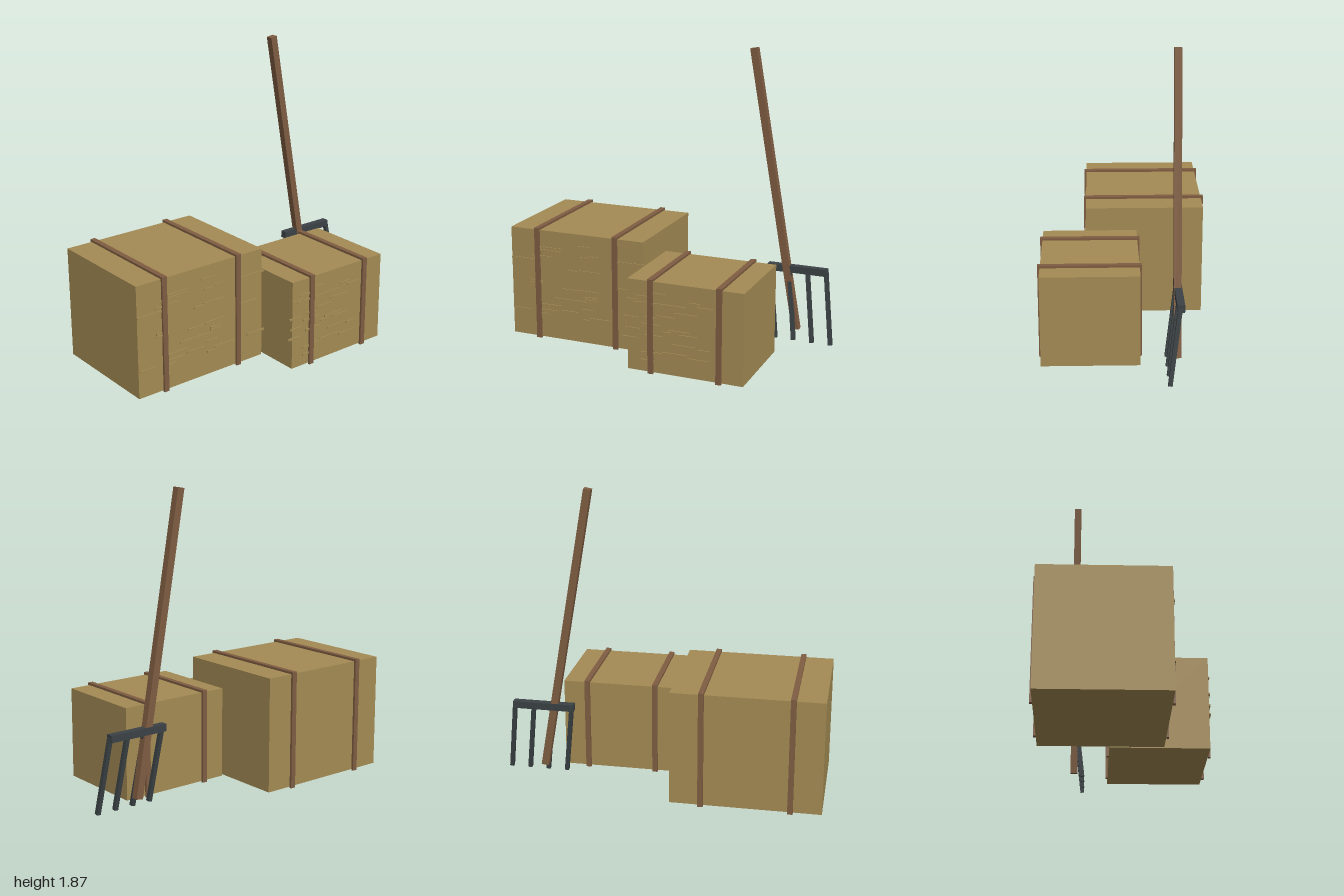
import * as THREE from 'three';

const mat = (name, color) => {
  const m = new THREE.MeshStandardMaterial({ color });
  m.name = name;
  return m;
};

export function createModel() {
  const straw = mat('straw', 0xa48b54);
  const brown = mat('brown wood', 0x7f5d42);
  const iron = mat('dark iron', 0x3b4245);
  const model = new THREE.Group();

  // Box given by its minimum and maximum corners
  function box(parent, name, material, [x0, y0, z0], [x1, y1, z1]) {
    const mesh = new THREE.Mesh(new THREE.BoxGeometry(x1 - x0, y1 - y0, z1 - z0), material);
    mesh.position.set((x0 + x1) / 2, (y0 + y1) / 2, (z0 + z1) / 2);
    mesh.name = name;
    parent.add(mesh);
  }

  // Square rod between two points
  function rod(parent, name, material, from, to, width) {
    const a = new THREE.Vector3(...from), b = new THREE.Vector3(...to);
    const dir = b.clone().sub(a);
    const mesh = new THREE.Mesh(new THREE.BoxGeometry(width, dir.length(), width), material);
    mesh.position.copy(a).add(b).multiplyScalar(0.5);
    mesh.quaternion.setFromUnitVectors(new THREE.Vector3(0, 1, 0), dir.normalize());
    mesh.name = name;
    parent.add(mesh);
  }

  // Bale with two straps and loose stalks [left, right, height] on its front
  function bale(name, min, max, strapXs, stalks) {
    const group = new THREE.Group();
    group.name = name;
    box(group, 'baleBody', straw, min, max);
    const t = 0.014, w = 0.0165;
    const [, y0, z0] = min, [, y1, z1] = max;
    for (const x of strapXs) {
      box(group, 'strapTop', brown, [x - w, y1, z0 - t], [x + w, y1 + t, z1 + t]);
      box(group, 'strapFront', brown, [x - w, 0, z1], [x + w, y1, z1 + t]);
      box(group, 'strapBack', brown, [x - w, 0, z0 - t], [x + w, y1, z0]);
    }
    for (const [a, b, y] of stalks)
      box(group, 'stalk', straw, [a, y - 0.006, z1 - 0.002], [b, y + 0.006, z1 + 0.006]);
    model.add(group);
  }

  bale('largeBale', [-1, 0.008, -0.507], [-0.083, 0.72, 0.233], [-0.812, -0.272], [
    [-0.54, -0.44, 0.64], [-0.8, -0.63, 0.607], [-0.83, -0.64, 0.588], [-0.87, -0.71, 0.548],
    [-1, -0.83, 0.52], [-0.52, -0.4, 0.57], [-0.45, -0.38, 0.58], [-0.28, -0.07, 0.573],
    [-0.6, -0.45, 0.473], [-0.53, -0.38, 0.48], [-0.87, -0.78, 0.366], [-0.87, -0.78, 0.382],
    [-0.64, -0.53, 0.345], [-0.52, -0.38, 0.35], [-0.26, -0.13, 0.398], [-0.48, -0.4, 0.31],
    [-0.48, -0.4, 0.294], [-0.7, -0.47, 0.278], [-0.79, -0.65, 0.227], [-0.51, -0.425, 0.227],
    [-0.99, -0.875, 0.179], [-0.8, -0.665, 0.19], [-0.8, -0.74, 0.163], [-0.505, -0.45, 0.158],
    [-0.45, -0.3, 0.174], [-0.65, -0.53, 0.2], [-0.2, -0.06, 0.179],
  ]);

  bale('smallBale', [-0.065, 0.008, -0.085], [0.668, 0.578, 0.503], [0.085, 0.518], [
    [0.08, 0.185, 0.505], [-0.07, 0.01, 0.452], [0.01, 0.16, 0.441], [0.16, 0.31, 0.441],
    [-0.01, 0.07, 0.478], [0.32, 0.4, 0.473], [0.38, 0.48, 0.452], [-0.09, 0.01, 0.34],
    [0.045, 0.125, 0.35], [0.125, 0.24, 0.366], [0.24, 0.38, 0.398], [0.025, 0.15, 0.307],
    [0.16, 0.22, 0.27], [0.195, 0.33, 0.286], [-0.083, 0.013, 0.27], [-0.1, 0, 0.21],
    [0.04, 0.16, 0.238], [0.265, 0.38, 0.265], [0.22, 0.37, 0.2], [0.095, 0.275, 0.131],
    [0.16, 0.32, 0.142], [0.32, 0.45, 0.126], [0.02, 0.105, 0.126], [0.02, 0.105, 0.078],
    [0.38, 0.46, 0.19], [-0.03, 0.06, 0.436],
  ]);

  // Leaning pitchfork: shaft, crossbar and four slanted tines
  const fork = new THREE.Group();
  fork.name = 'pitchfork';
  rod(fork, 'shaft', brown, [0.743, 0.098, -0.298], [0.432, 1.868, -0.298], 0.045);
  box(fork, 'crossbar', iron, [0.55, 0.472, -0.324], [0.933, 0.516, -0.28]);
  for (let i = 0; i < 4; i++) {
    const x = 0.566 + i * 0.12;
    rod(fork, 'tine', iron, [x + 0.056, 0.042, -0.243], [x, 0.495, -0.298], 0.025);
  }
  model.add(fork);
  return model;
}
